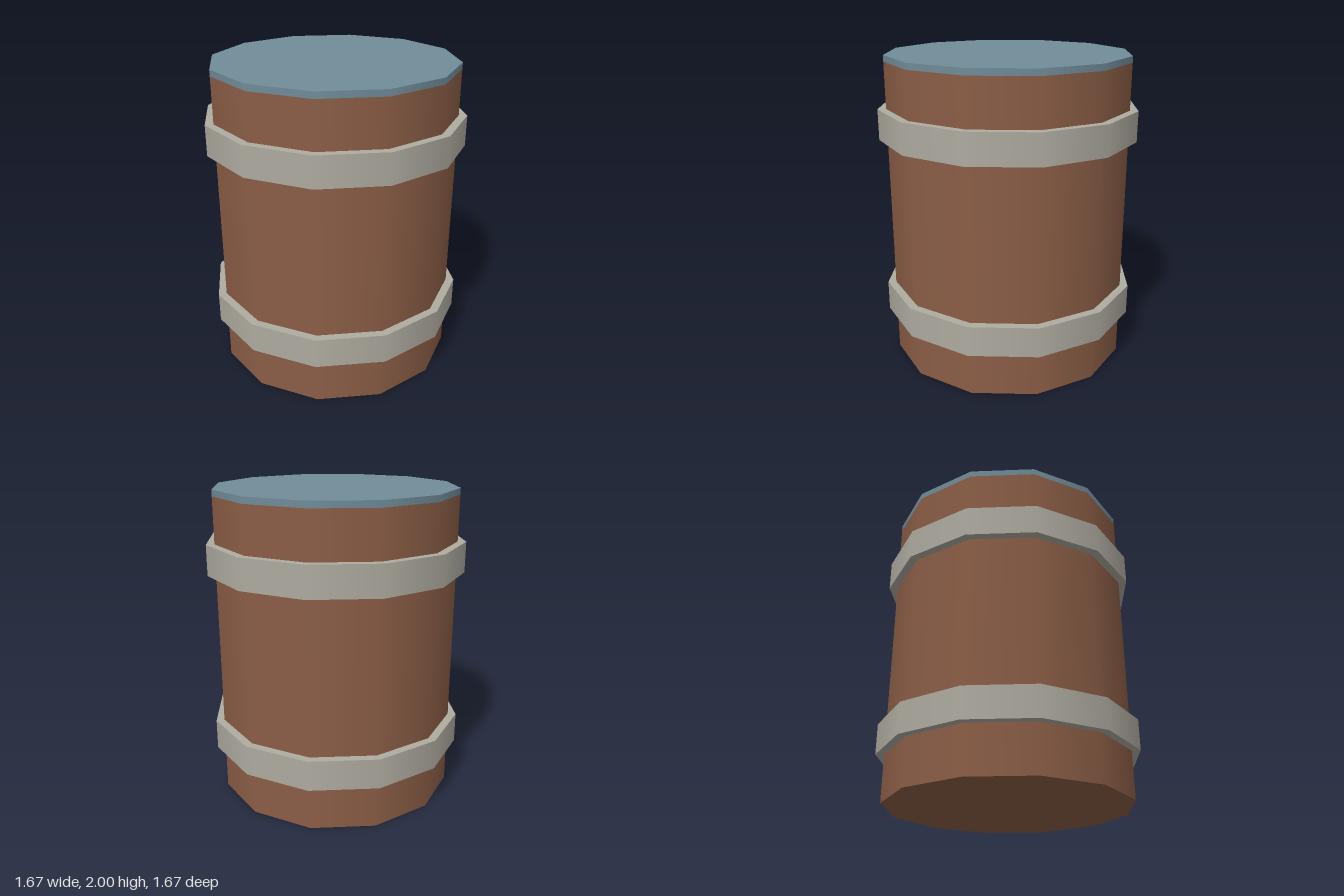
import * as THREE from 'three';

const SIDES = 12;

export function createModel() {
  const barrel = new THREE.Group();
  barrel.name = 'barrel';

  const material = (name, color) => {
    const m = new THREE.MeshStandardMaterial({ color });
    m.name = name;
    return m;
  };
  const wood = material('brown wood', 0x8b5e46);
  const metal = material('grey metal', 0xaeaba0);
  const blue = material('blue lid', 0x708c99);

  // Twelve-sided drum from height y0 to y1, with smoothly shaded sides
  const drum = (name, radius, y0, y1, mat) => {
    const geometry = new THREE.CylinderGeometry(radius, radius, y1 - y0, SIDES);
    const mesh = new THREE.Mesh(geometry, mat);
    mesh.name = name;
    mesh.position.y = (y0 + y1) / 2;
    barrel.add(mesh);
  };

  drum('body', 0.78, 0, 1.96, wood);
  drum('lid', 0.78, 1.96, 2, blue);

  // Hoops, mirrored about the middle
  drum('lowerHoop', 0.833, 0.295, 0.49, metal);
  drum('upperHoop', 0.833, 1.475, 1.67, metal);

  return barrel;
}
